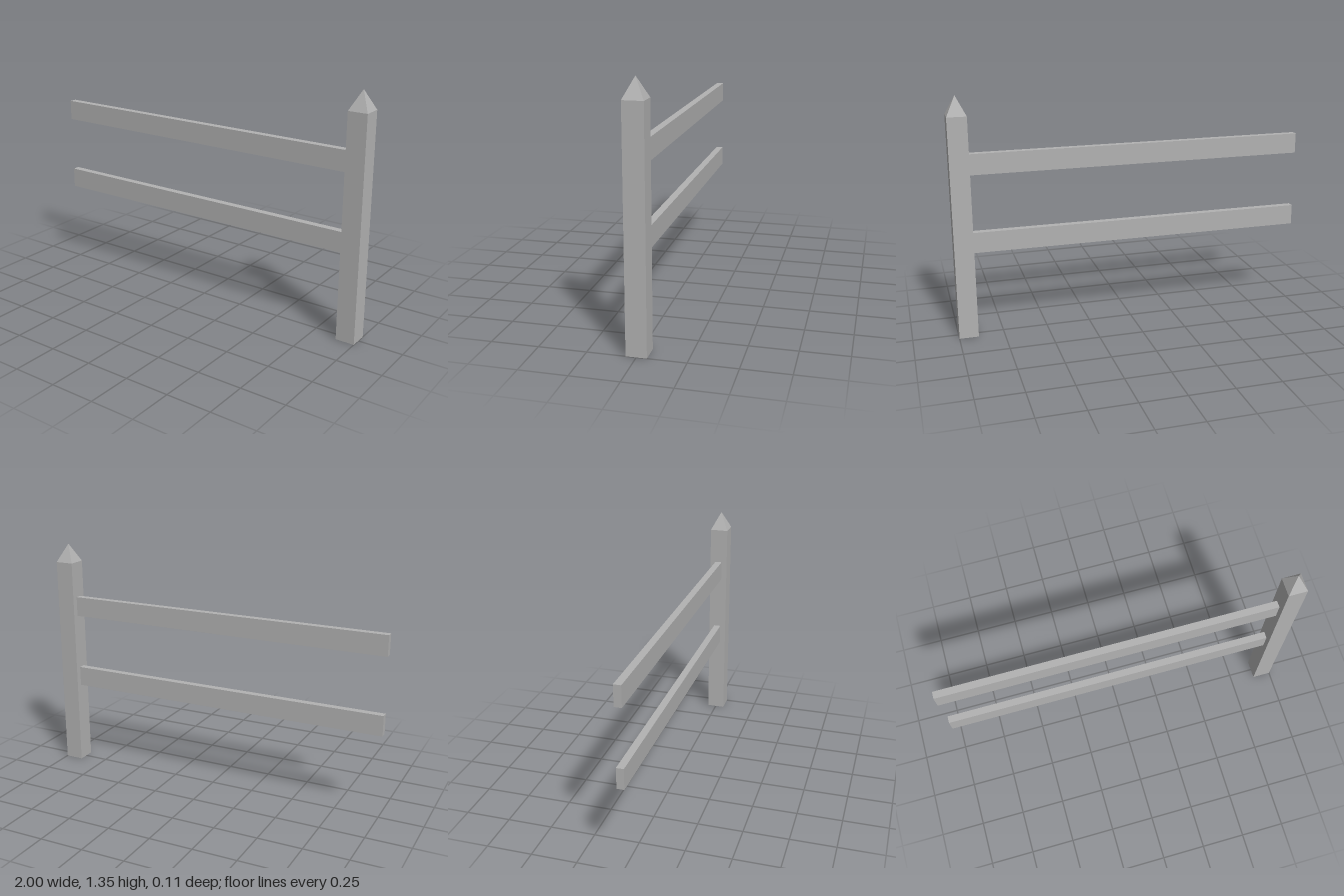
import * as THREE from 'three';

export function createModel() {
  const group = new THREE.Group();
  const grey = new THREE.MeshStandardMaterial({ color: 0xb2b2b2 });
  grey.name = 'grey';

  const add = (name, geometry, x, y, z = 0) => {
    const mesh = new THREE.Mesh(geometry, grey);
    mesh.name = name;
    mesh.position.set(x, y, z);
    group.add(mesh);
    return mesh;
  };

  // Square post with a pointed top, extruded upward as one closed solid
  const width = 0.106, shoulder = 1.24, tip = 1.345;
  const postX = 1 - width / 2;
  const post = new THREE.BoxGeometry(width, shoulder, width);
  // Leave out the hidden top face (third face group of the box)
  const index = Array.from(post.index.array);
  index.splice(12, 6);
  post.setIndex(index);
  post.clearGroups();
  add('post', post, postX, shoulder / 2);

  // Four-sided point, turned so its faces line up with the post
  const point = new THREE.ConeGeometry(width / Math.SQRT2, tip - shoulder, 4, 1, true)
    .rotateY(Math.PI / 4)
    .toNonIndexed();
  point.computeVertexNormals();
  add('postPoint', point, postX, (shoulder + tip) / 2);

  // Two flat rails running from the post to the open end
  const railEnd = 1 - width;
  for (const [name, y] of [['lowerRail', 0.538], ['upperRail', 0.975]]) {
    add(name, new THREE.BoxGeometry(railEnd + 1, 0.115, 0.04), (railEnd - 1) / 2, y);
  }

  return group;
}
